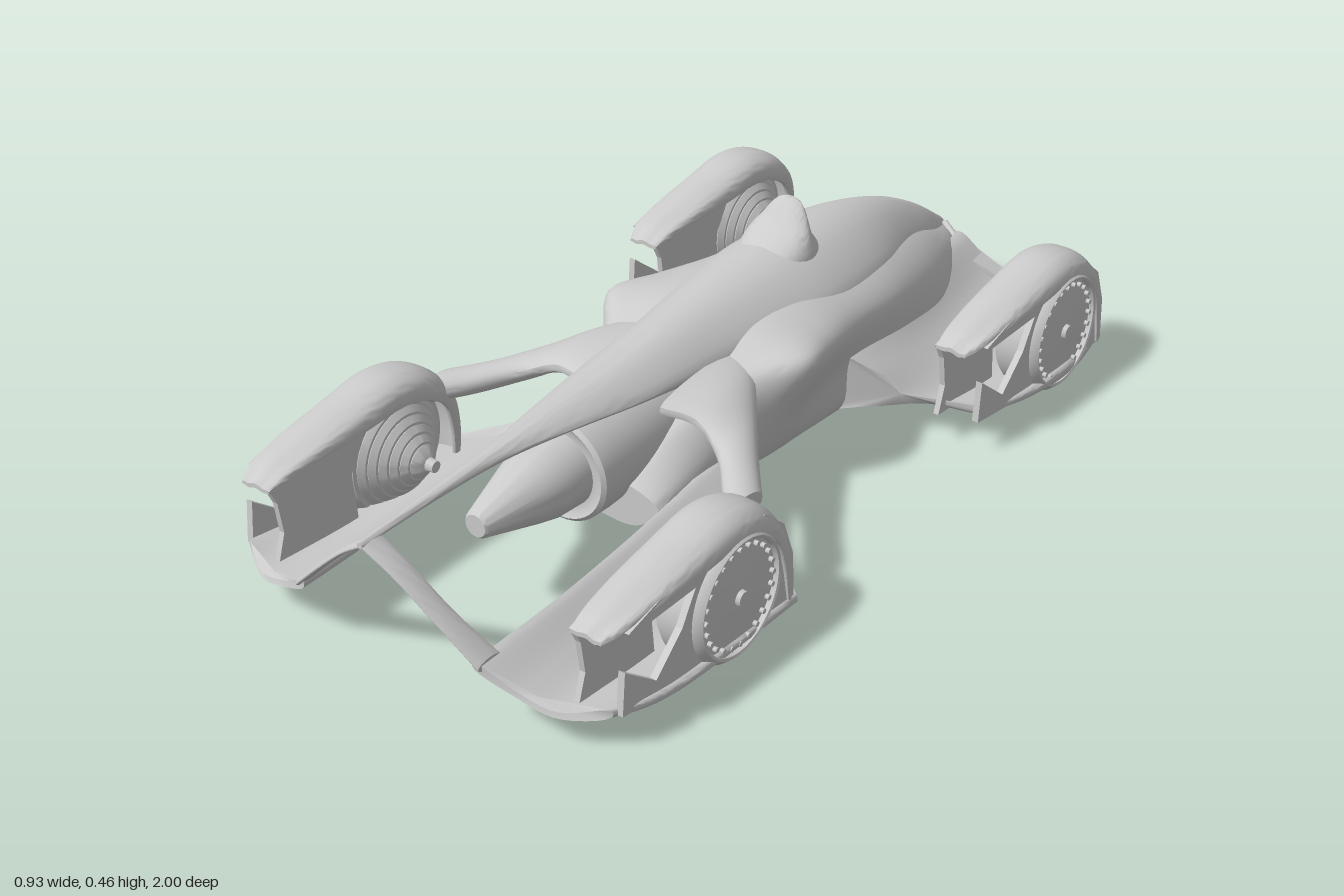
import * as THREE from 'three';
import { toCreasedNormals, mergeGeometries } from 'three/addons/utils/BufferGeometryUtils.js';
import { ConvexGeometry } from 'three/addons/geometries/ConvexGeometry.js';

const V = (x, y, z) => new THREE.Vector3(x, y, z);

// Smooth closed solid through rings of [x, y, z] control points
function loft(rings, M = 40, N = 40, crease = 0.6) {
  const along = rings[0].map((_, j) =>
    new THREE.CatmullRomCurve3(rings.map(r => V(...r[j])), false, 'centripetal'));
  const pos = [], idx = [];
  for (let i = 0; i <= M; i++) {
    const ring = new THREE.CatmullRomCurve3(along.map(c => c.getPoint(i / M)), true, 'centripetal');
    for (let k = 0; k < N; k++) pos.push(...ring.getPoint(k / N).toArray());
  }
  const at = (i, k) => i * N + (k % N);
  for (let i = 0; i < M; i++) for (let k = 0; k < N; k++)
    idx.push(at(i, k), at(i + 1, k), at(i, k + 1), at(i + 1, k), at(i + 1, k + 1), at(i, k + 1));
  // end caps
  for (const [row, flip] of [[0, false], [M, true]]) {
    const c = V(0, 0, 0), id = pos.length / 3;
    for (let k = 0; k < N; k++) c.add(V(...pos.slice(at(row, k) * 3, at(row, k) * 3 + 3)));
    pos.push(...c.divideScalar(N).toArray());
    for (let k = 0; k < N; k++)
      idx.push(id, ...(flip ? [at(row, k + 1), at(row, k)] : [at(row, k), at(row, k + 1)]));
  }
  // turn the faces outward
  let vol = 0;
  const P = i => V(pos[i * 3], pos[i * 3 + 1], pos[i * 3 + 2]);
  for (let i = 0; i < idx.length; i += 3) vol += P(idx[i]).dot(P(idx[i + 1]).cross(P(idx[i + 2])));
  if (vol < 0) idx.reverse();
  const g = new THREE.BufferGeometry();
  g.setAttribute('position', new THREE.Float32BufferAttribute(pos, 3));
  g.setIndex(idx);
  return toCreasedNormals(g, crease);
}

// Mirror across x = 0, keeping faces outward
function mirrored(geo) {
  const g = geo.clone().scale(-1, 1, 1);
  const n = g.attributes.position.count;
  const idx = g.index ? [...g.index.array] : Array.from({ length: n }, (_, i) => i);
  g.setIndex(idx.reverse());
  return g;
}

// Elliptical ring: centre, two radii, plane 'x' (yz) or 'y' (xz)
const ellipse = (x, y, z, a, b, plane) => Array.from({ length: 10 }, (_, k) => {
  const t = k / 10 * Math.PI * 2, u = a * Math.cos(t), w = b * Math.sin(t);
  return plane === 'x' ? [x, y + u, z + w] : [x + u, y, z + w];
});

// Full ring from a right-hand half, top to bottom
const symmetric = half => [...half, ...half.slice(1, -1).reverse().map(([x, y, z]) => [-x, y, z])];

// Plate from rows of top points, with a rule for its underside
const plate = (rows, under) => loft(rows.map((r, i) =>
  [...r, ...[...r].reverse().map(([x, y, z]) => [x, under(y, i), z])]), 30, 44, 0.7);

// Flat side panel drawn in (z, y), outer face at x
function panel(points, x, depth) {
  const g = new THREE.ExtrudeGeometry(new THREE.Shape(points.map(p => new THREE.Vector2(...p))),
    { depth, bevelEnabled: false });
  return g.rotateY(-Math.PI / 2).translate(x, 0, 0);
}

function wheelGeometry() {
  const p = [[0, 0.262], [0.012, 0.262], [0.014, 0.28]];
  for (let i = 0; i < 6; i++) { // saw-toothed inner hub cone
    const r = 0.036 + i * 0.016, x = 0.285 + i * 0.013;
    p.push([r - 0.012, x], [r, x + 0.01], [r - 0.002, x + 0.013]);
  }
  p.push([0.125, 0.362], [0.135, 0.375], [0.137, 0.42], [0.132, 0.448], [0.12, 0.462], [0.115, 0.46],
    [0.113, 0.45], [0.09, 0.451], [0.03, 0.456], [0.016, 0.456], [0.014, 0.465], [0, 0.466]);
  const body = toCreasedNormals(new THREE.LatheGeometry(p.map(a => new THREE.Vector2(...a)), 48), 0.6);
  const parts = [body];
  for (let i = 0; i < 24; i++) { // rim studs
    const t = i / 24 * Math.PI * 2;
    parts.push(new THREE.CylinderGeometry(0.0055, 0.0055, 0.014, 8).toNonIndexed()
      .translate(0.102 * Math.cos(t), 0.452, 0.102 * Math.sin(t)));
  }
  return mergeGeometries(parts).rotateZ(-Math.PI / 2).translate(0, 0.138, 0);
}

// Hollow arch over a wheel: path of [z, y, inner x, outer x, depth]
function archGeometry() {
  const path = [[0.352, 0.24, 0.352, 0.42, 0.012], [0.31, 0.257, 0.345, 0.437, 0.02], [0.23, 0.274, 0.338, 0.447, 0.03],
    [0.12, 0.292, 0.333, 0.453, 0.045], [0, 0.306, 0.33, 0.457, 0.055], [-0.09, 0.28, 0.33, 0.457, 0.055],
    [-0.155, 0.217, 0.335, 0.455, 0.045], [-0.185, 0.13, 0.345, 0.453, 0.04], [-0.19, 0.02, 0.36, 0.45, 0.03]];
  return loft(path.map(([z, y, a, b, d]) => {
    const n = z < 0 ? V(0, 0.12 - y, -z).normalize() : V(0, -1, 0);
    const q = (x, s) => [x, y + n.y * s, z + n.z * s];
    const m = (a + b) / 2, w = (b - a) * 0.09, e = (b - a) * 0.23;
    return [q(a, d), q(a + w / 3, d * 0.4), q(a + e, 0.004), q(m, 0), q(b - e, 0.006), q(b - w / 2, d * 0.45),
      q(b, d), q(b - w, d), q(b - e, 0.015), q(m, 0.01), q(a + e, 0.013), q(a + w, d)];
  }), 44, 48);
}

export function createModel() {
  const model = new THREE.Group();
  const mat = new THREE.MeshStandardMaterial({ color: 0xcccccc, side: THREE.DoubleSide });
  const add = (name, geo) => {
    const m = new THREE.Mesh(geo, mat);
    m.name = name;
    model.add(m);
  };
  const both = (name, geo) => { add(name + 'Left', geo); add(name + 'Right', mirrored(geo)); };

  // Upper body with needle spine: z, top y, half width, edge y, bottom y
  const upper = [[1, 0.338, 0.006, 0.332, 0.325], [0.8, 0.344, 0.012, 0.334, 0.322], [0.65, 0.348, 0.022, 0.332, 0.315],
    [0.5, 0.353, 0.05, 0.325, 0.305], [0.3, 0.362, 0.085, 0.308, 0.28], [0.1, 0.377, 0.108, 0.298, 0.24],
    [-0.1, 0.388, 0.14, 0.29, 0.22], [-0.25, 0.392, 0.155, 0.285, 0.2], [-0.45, 0.374, 0.14, 0.27, 0.18],
    [-0.62, 0.328, 0.1, 0.235, 0.15], [-0.76, 0.258, 0.065, 0.2, 0.12], [-0.88, 0.175, 0.025, 0.15, 0.1]];
  add('canopyAndSpine', loft(upper.map(([z, t, w, e, b]) => symmetric(
    [[0, t, z], [w * 0.5, t - (t - e) * 0.22, z], [w, e, z], [w * 0.8, (e + b) / 2, z], [0, b, z]])), 70, 40));

  // Lower hull: z, top y, shoulder x/y, flank x/y, floor x/y
  const lower = [[0.39, 0.17, 0.11, 0.17, 0.175, 0.14, 0.12, 0.085], [0.25, 0.25, 0.13, 0.235, 0.18, 0.15, 0.13, 0.07],
    [0.1, 0.3, 0.175, 0.275, 0.19, 0.165, 0.145, 0.058], [0, 0.33, 0.245, 0.298, 0.215, 0.18, 0.155, 0.055],
    [-0.12, 0.34, 0.225, 0.28, 0.197, 0.17, 0.165, 0.055], [-0.25, 0.335, 0.2, 0.26, 0.19, 0.16, 0.175, 0.055],
    [-0.45, 0.32, 0.185, 0.235, 0.19, 0.13, 0.18, 0.05], [-0.65, 0.27, 0.145, 0.2, 0.17, 0.1, 0.15, 0.045],
    [-0.8, 0.2, 0.09, 0.165, 0.11, 0.09, 0.1, 0.04], [-0.88, 0.165, 0.035, 0.15, 0.045, 0.1, 0.04, 0.04]];
  add('hull', loft(lower.map(([z, t, sx, sy, ux, uy, bx, by]) => symmetric(
    [[0, t, z], [sx * 0.65, t - (t - sy) * 0.3, z], [sx, sy, z], [ux, uy, z], [bx, by, z], [0, by, z]])), 60, 60));

  // Scoop on the canopy
  add('scoop', loft([[0.34, -0.25, 0.085, 0.1], [0.375, -0.25, 0.08, 0.08], [0.4, -0.255, 0.07, 0.052],
    [0.425, -0.273, 0.054, 0.027], [0.448, -0.283, 0.039, 0.015], [0.46, -0.288, 0.026, 0.009],
    [0.466, -0.289, 0.012, 0.005]]
    .map(([y, z, a, b]) => ellipse(0, y, z, a, b, 'y')), 24, 32));

  // Nose pod under the spine
  const pod = [[0, 0.05], [0.105, 0.05], [0.112, 0.2], [0.115, 0.42], [0.113, 0.465], [0.105, 0.472], [0.092, 0.465],
    [0.08, 0.465], [0.076, 0.53], [0.066, 0.57], [0.028, 0.7], [0.023, 0.706], [0, 0.706]];
  add('nosePod', toCreasedNormals(new THREE.LatheGeometry(pod.map(p => new THREE.Vector2(...p)), 48), 0.5)
    .rotateX(Math.PI / 2).translate(0, 0.21, 0));

  // Front struts from the spine tip, and arms to the front fenders
  both('noseStrut', loft([[0, 0.33, 0.974, 0.008, 0.026], [0.06, 0.285, 0.964, 0.008, 0.024],
    [0.14, 0.21, 0.948, 0.009, 0.024], [0.215, 0.135, 0.925, 0.01, 0.03]]
    .map(([x, y, z, a, b]) => ellipse(x, y, z, a, b, 'x')), 16, 20));
  both('frontArm', loft([[0.1, 0.28, 0.14, 0.028, 0.15], [0.17, 0.27, 0.17, 0.028, 0.1],
    [0.24, 0.242, 0.23, 0.028, 0.068], [0.31, 0.224, 0.315, 0.028, 0.06], [0.37, 0.218, 0.39, 0.028, 0.06]]
    .map(([x, y, z, a, b]) => ellipse(x, y, z, a, b, 'x')), 20, 24));

  // Swept floor wings
  both('frontWing', plate([
    [[0.165, 0.165, 0.12], [0.24, 0.11, 0.19], [0.33, 0.055, 0.265], [0.45, 0.028, 0.33]],
    [[0.185, 0.15, 0.4], [0.25, 0.105, 0.44], [0.33, 0.058, 0.48], [0.455, 0.042, 0.5]],
    [[0.2, 0.145, 0.7], [0.26, 0.1, 0.7], [0.33, 0.063, 0.7], [0.455, 0.058, 0.7]],
    [[0.2, 0.145, 0.88], [0.27, 0.1, 0.86], [0.34, 0.072, 0.83], [0.45, 0.078, 0.8]],
    [[0.2, 0.145, 0.95], [0.27, 0.105, 0.93], [0.35, 0.08, 0.91], [0.43, 0.088, 0.86]]], y => y - 0.014));
  const floorY = [0.07, 0.05, 0.02, 0.016];
  both('rearWing', plate([
    [[0.15, 0.2, -0.2], [0.23, 0.16, -0.25], [0.32, 0.085, -0.33], [0.43, 0.08, -0.37]],
    [[0.14, 0.2, -0.45], [0.22, 0.13, -0.45], [0.33, 0.065, -0.47], [0.455, 0.06, -0.5]],
    [[0.11, 0.19, -0.65], [0.2, 0.11, -0.65], [0.33, 0.05, -0.67], [0.455, 0.045, -0.7]],
    [[0.07, 0.17, -0.85], [0.18, 0.1, -0.85], [0.33, 0.045, -0.85], [0.43, 0.035, -0.85]]],
  (y, i) => Math.min(y - 0.014, floorY[i])));

  // Tail flaps and vents
  both('tailFlap', new ConvexGeometry([[0.03, 0.175, -0.86], [0.03, 0.04, -0.88], [0.05, 0.02, -1], [0.055, 0.035, -1],
    [0.085, 0.02, -1], [0.085, 0.03, -1], [0.36, 0.018, -0.85], [0.36, 0.04, -0.85], [0.12, 0.145, -0.8],
    [0.2, 0.02, -0.82]].map(p => V(...p))));
  both('tailVent', new THREE.CapsuleGeometry(0.008, 0.04, 4, 10).rotateZ(Math.PI / 2 - 0.3)
    .rotateY(-0.5).translate(0.05, 0.168, -0.848));

  // Wheels and fenders, front and rear alike
  const skin = [[0.31, 0.238], [0.23, 0.257], [0.12, 0.272], [0, 0.283], [-0.09, 0.262], [-0.15, 0.21], [-0.18, 0.13],
    [-0.185, 0.03], [0.1, 0.04], [0.27, 0.065], [0.33, 0.075], [0.322, 0.165], [0.235, 0.095], [0.16, 0.16],
    [0.12, 0.225], [0.3, 0.23]];
  const blade = [[0.352, 0.235], [0.25, 0.262], [0.06, 0.285], [0.09, 0.24], [0.14, 0.16], [0.13, 0.05],
    [0.24, 0.06], [0.345, 0.07], [0.325, 0.13], [0.335, 0.2]];
  for (const [end, z] of [['front', 0.52], ['rear', -0.65]]) {
    both(end + 'Wheel', wheelGeometry().translate(0, 0, z));
    both(end + 'FenderArch', archGeometry().translate(0, 0, z));
    both(end + 'FenderSkin', panel(skin, 0.446, 0.014).translate(0, 0, z));
    both(end + 'FenderBlade', panel(blade, 0.362, 0.012).translate(0, 0, z));
  }
  return model;
}
